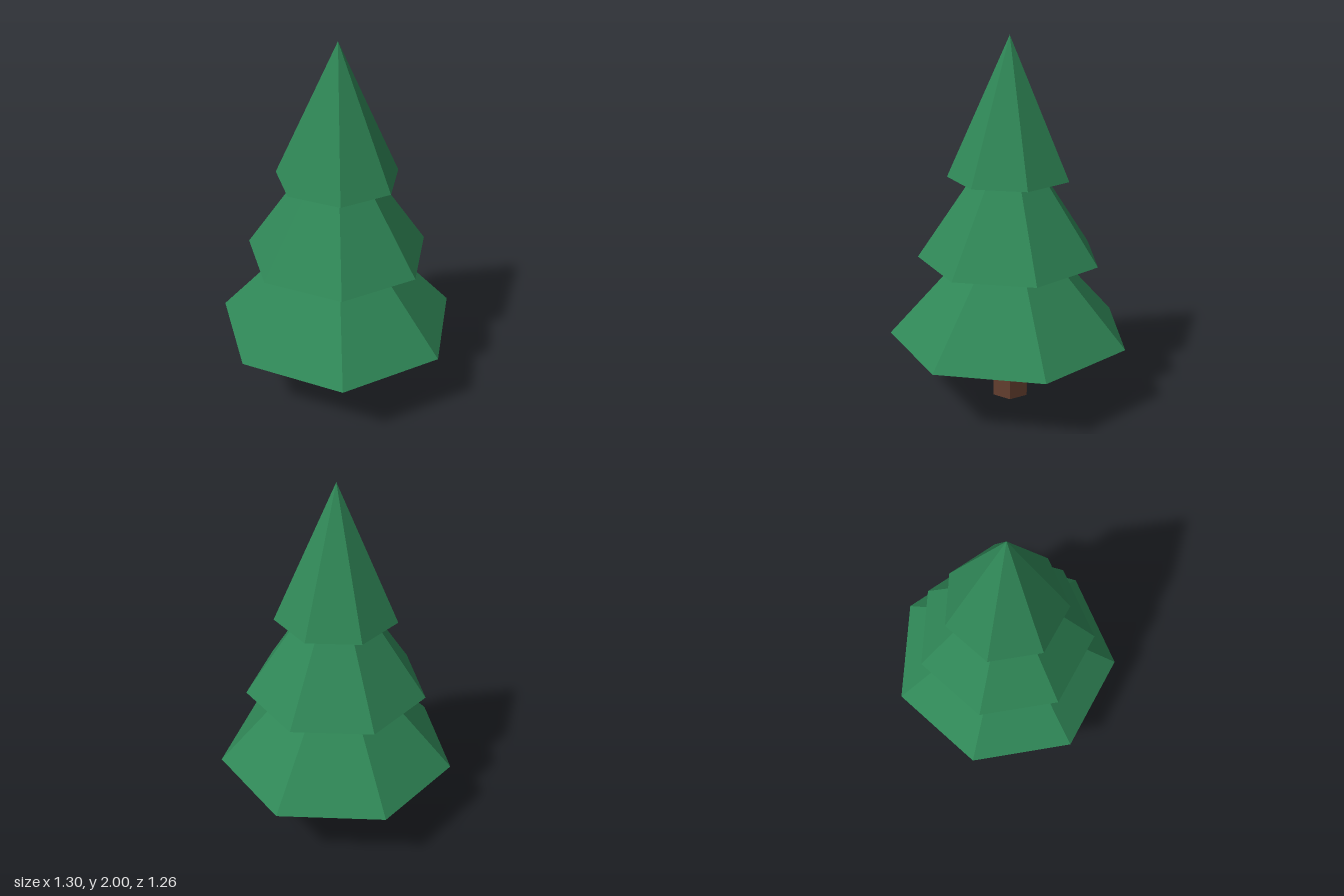
import * as THREE from 'three';

export function createModel() {
  const tree = new THREE.Group();
  tree.name = 'pineTree';

  const needleGreen = new THREE.MeshStandardMaterial({ color: 0x2f8656 });
  needleGreen.name = 'needleGreen';
  needleGreen.flatShading = true;
  const barkBrown = new THREE.MeshStandardMaterial({ color: 0x643f2f });
  barkBrown.name = 'barkBrown';
  barkBrown.flatShading = true;

  // The seven-sided outline is not symmetric in z, so its axis sits forward
  const axisZ = 0.033;

  // Six-sided trunk, ending inside the lowest tier
  const trunkHeight = 0.44;
  const trunk = new THREE.Mesh(
    new THREE.CylinderGeometry(0.108, 0.108, trunkHeight, 6), barkBrown);
  trunk.name = 'trunk';
  trunk.position.set(0, trunkHeight / 2, axisZ);
  tree.add(trunk);

  // Three overlapping closed cones, with a corner pointing to the back
  const tierHeight = 0.735;
  const tiers = [
    ['lowerFoliage', 0.665, 0.375],
    ['middleFoliage', 0.5, 0.82],
    ['upperFoliage', 0.333, 1.265],
  ];
  for (const [name, radius, base] of tiers) {
    const tier = new THREE.Mesh(
      new THREE.ConeGeometry(radius, tierHeight, 7), needleGreen);
    tier.name = name;
    tier.rotation.y = Math.PI;
    tier.position.set(0, base + tierHeight / 2, axisZ);
    tree.add(tier);
  }

  return tree;
}
